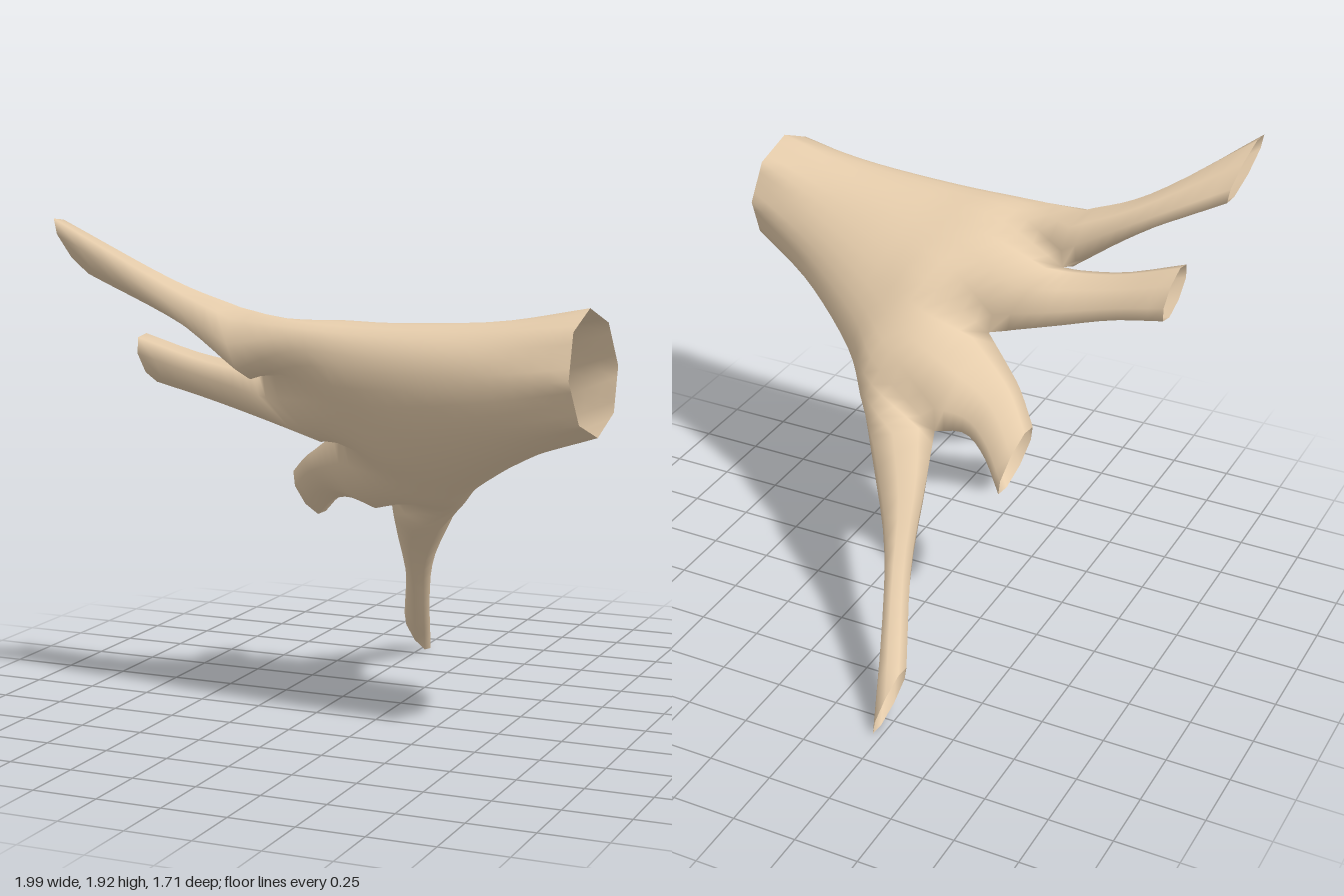
import * as THREE from 'three';
import { mergeVertices } from 'three/addons/utils/BufferGeometryUtils.js';

// The piece is a hollow trunk that flattens into a fan and splits into four
// branches. Points are [x, p, q]: p runs up across the fan, q is its normal.
const S = Math.SQRT1_2;
const toWorld = (v) => [v.x, (v.y + v.z) * S, (v.y - v.z) * S];
const V = (a) => new THREE.Vector3(...a);

const K = 4;          // columns per branch on each face
const BODY_ROWS = 18;
const BRANCH_ROWS = 10;

// Trunk sections: upper edge, lower edge, half thickness, thinning towards the lower edge
const bodySections = [
  [[0.94, 1.655, 0.587], [0.99, 1.215, 0.587], 0.225, 0],
  [[0.6, 1.6, 0.58], [0.7, 1.05, 0.575], 0.213, 0],
  [[0.2, 1.58, 0.59], [0.42, 0.81, 0.57], 0.208, -0.08],
  [[-0.12, 1.575, 0.615], [0.28, 0.61, 0.588], 0.182, -0.18],
];

// Where the trunk ends: outer edge, three forks, outer edge
const forks = [
  [-0.4, 1.575, 0.645], [-0.34, 1.335, 0.61], [-0.12, 1.02, 0.575],
  [-0.05, 0.58, 0.6], [0.16, 0.42, 0.62],
];

// Branches: half thickness at the fork, then sections [upper edge, lower edge, half thickness]
const branches = [
  { h: 0.122, sections: [                            // upper
    [[-0.65, 1.675, 0.71], [-0.6, 1.49, 0.695], 0.07],
    [[-1, 1.97, 0.755], [-0.94, 1.676, 0.745], 0.05]] },
  { h: 0.135, sections: [                            // second
    [[-0.42, 1.345, 0.59], [-0.37, 1.1, 0.585], 0.09],
    [[-0.6, 1.37, 0.61], [-0.6, 1.17, 0.605], 0.07],
    [[-0.83, 1.44, 0.643], [-0.81, 1.2, 0.643], 0.07]] },
  { h: 0.155, sections: [                            // third
    [[-0.25, 0.9, 0.572], [-0.17, 0.6, 0.6], 0.095],
    [[-0.33, 0.82, 0.58], [-0.28, 0.53, 0.61], 0.07],
    [[-0.43, 0.69, 0.6], [-0.39, 0.4, 0.615], 0.06]] },
  { h: 0.12, sections: [                             // lower
    [[-0.088, 0.39, 0.615], [0, 0.12, 0.615], 0.078],
    [[-0.14, 0.06, 0.61], [-0.1, -0.17, 0.61], 0.06],
    [[-0.26, -0.33, 0.61], [-0.215, -0.6, 0.605], 0.048]] },
];

// Point on a half ellipse between two edges; f runs 0..1, side is +1 or -1
function ellipsePoint(a, b, h, f, side, thin = 0) {
  const w = (1 - Math.cos(Math.PI * f)) / 2;
  const v = V(a).lerp(V(b), w);
  v.z += side * h * (1 - thin * w) * Math.sin(Math.PI * f);
  return v;
}

// Trunk section point; the open end is an octagon, the rest is round
function trunkPoint([upper, lower, h, thin], row, b, k, side) {
  const at = (f) => ellipsePoint(upper, lower, h, f / branches.length, side, thin);
  return row === 0 ? at(b).lerp(at(b + 1), k / K) : at(b + k / K);
}

const sample = (points, rows) =>
  new THREE.CatmullRomCurve3(points, false, 'catmullrom', 0.5).getPoints(rows);

// Stitches columns of points into a strip facing the given side
function addSheet(columns, side, positions, index) {
  const base = positions.length / 3;
  const rows = columns[0].length;
  columns.forEach((col) => col.forEach((v) => positions.push(...toWorld(v))));
  for (let c = 0; c < columns.length - 1; c++) {
    for (let r = 0; r < rows - 1; r++) {
      const a = base + c * rows + r, down = a + 1, across = a + rows, far = across + 1;
      if (side > 0) index.push(a, across, down, across, far, down);
      else index.push(a, down, across, across, down, far);
    }
  }
}

function buildSkin() {
  const positions = [], index = [];
  for (const side of [1, -1]) {
    branches.forEach((branch, b) => {
      const body = [], limb = [];
      for (let k = 0; k <= K; k++) {
        const fork = ellipsePoint(forks[b], forks[b + 1], branch.h, k / K, side);
        const trunk = bodySections.map((section, row) => trunkPoint(section, row, b, k, side));
        body.push(sample([...trunk, fork], BODY_ROWS));
        limb.push(sample([fork, ...branch.sections.map(([u, l, h]) =>
          ellipsePoint(u, l, h, k / K, side))], BRANCH_ROWS));
      }
      addSheet(body, side, positions, index);
      addSheet(limb, side, positions, index);
    });
  }
  const geometry = new THREE.BufferGeometry();
  geometry.setAttribute('position', new THREE.Float32BufferAttribute(positions, 3));
  geometry.setIndex(index);
  // Weld the seams so the shading runs smoothly from trunk into branches
  const welded = mergeVertices(geometry, 1e-4);
  welded.computeVertexNormals();
  return welded;
}

export function createModel() {
  const group = new THREE.Group();
  group.name = 'branchingTrunk';
  // Open at the trunk and at every branch tip
  const material = new THREE.MeshStandardMaterial({ color: 0xe5ccab, side: THREE.DoubleSide });
  const skin = new THREE.Mesh(buildSkin(), material);
  skin.name = 'trunkAndBranches';
  group.add(skin);
  return group;
}
